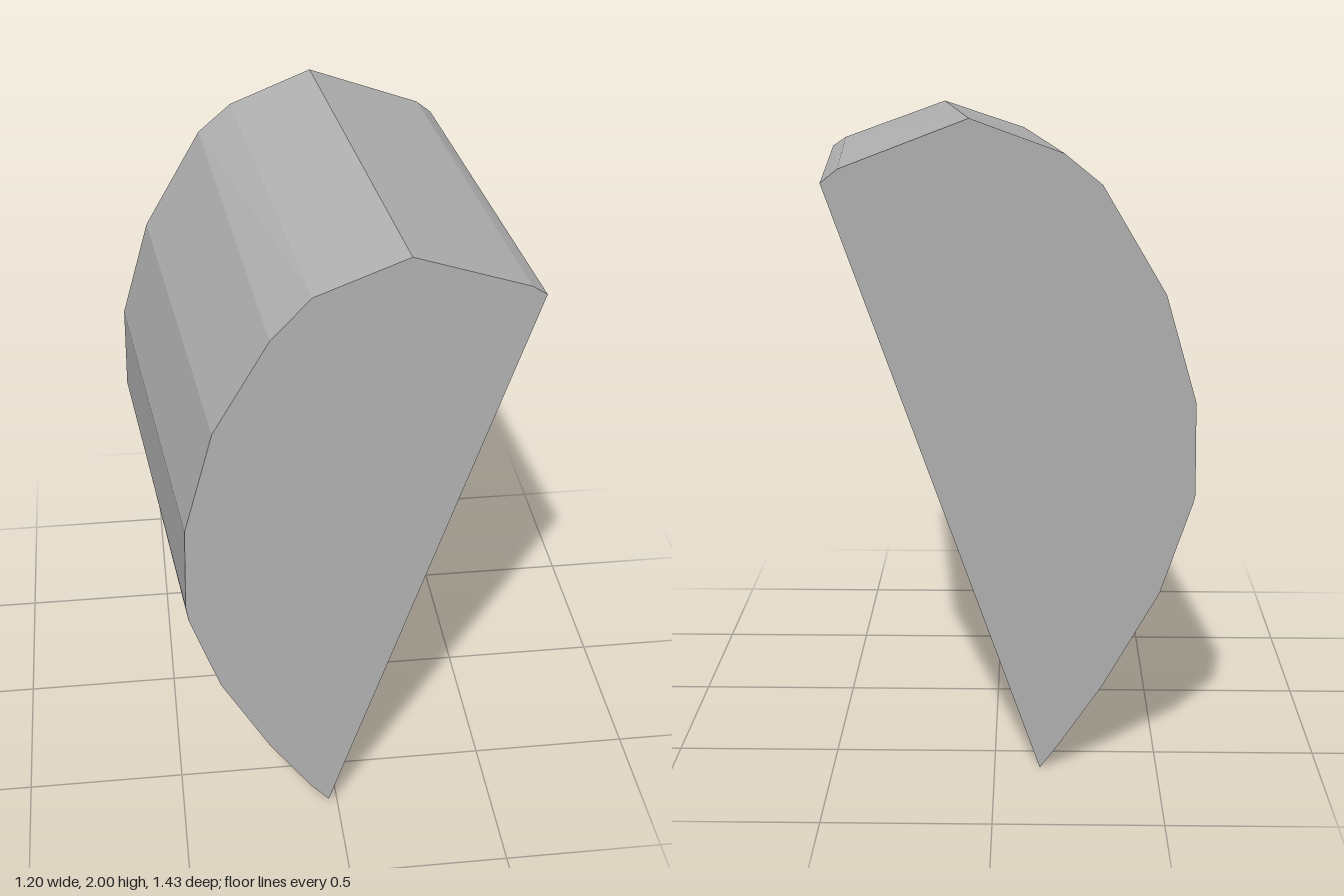
import * as THREE from 'three';

// Matching outline points (counter-clockwise from the front): [front x, front y, back x, back y]
const OUTLINE = [
  [-0.03, 0.03, -0.14, 0.0],
  [0.595, 1.80, 0.49, 1.82],
  [0.55, 1.83, 0.44, 1.86],
  [0.20, 1.955, 0.07, 2.0],
  [-0.08, 1.86, -0.2, 1.9],
  [-0.20, 1.74, -0.31, 1.81],
  [-0.37, 1.46, -0.5, 1.49],
  [-0.46, 1.14, -0.595, 1.165],
  [-0.467, 0.87, -0.6, 0.88],
  [-0.46, 0.82, -0.595, 0.855],
  [-0.37, 0.56, -0.5, 0.57],
  [-0.22, 0.29, -0.33, 0.27],
  [-0.09, 0.10, -0.2, 0.08],
];

// The two end faces are slightly tilted planes
const frontPoint = ([x, y]) => [x, y, 0.698 - 0.085 * x - 0.0235 * y];
const backPoint = ([, , x, y]) => [x, y, -0.63 - 0.076 * x - 0.0265 * y];

function makeMesh(name, triangles, material) {
  const geometry = new THREE.BufferGeometry();
  geometry.setAttribute('position', new THREE.Float32BufferAttribute(triangles.flat(2), 3));
  geometry.computeVertexNormals();
  const mesh = new THREE.Mesh(geometry, material);
  mesh.name = name;
  return mesh;
}

export function createModel() {
  const stone = new THREE.MeshStandardMaterial({ color: 0xb2b2b2 });
  stone.name = 'grey';

  const front = OUTLINE.map(frontPoint);
  const back = OUTLINE.map(backPoint);
  const n = OUTLINE.length;
  const frontCap = [], backCap = [], curvedSide = [], flatSide = [];

  // Fan the convex end faces
  for (let i = 1; i < n - 1; i++) {
    frontCap.push([front[0], front[i], front[i + 1]]);
    backCap.push([back[0], back[i + 1], back[i]]);
  }
  // Join the two outlines; the first strip is the flat cut face
  for (let i = 0; i < n; i++) {
    const j = (i + 1) % n;
    (i === 0 ? flatSide : curvedSide).push(
      [front[i], back[i], back[j]],
      [front[i], back[j], front[j]],
    );
  }

  const group = new THREE.Group();
  group.name = 'halfRoundBlock';
  group.add(
    makeMesh('frontFace', frontCap, stone),
    makeMesh('backFace', backCap, stone),
    makeMesh('facetedSide', curvedSide, stone),
    makeMesh('flatSide', flatSide, stone),
  );
  return group;
}
